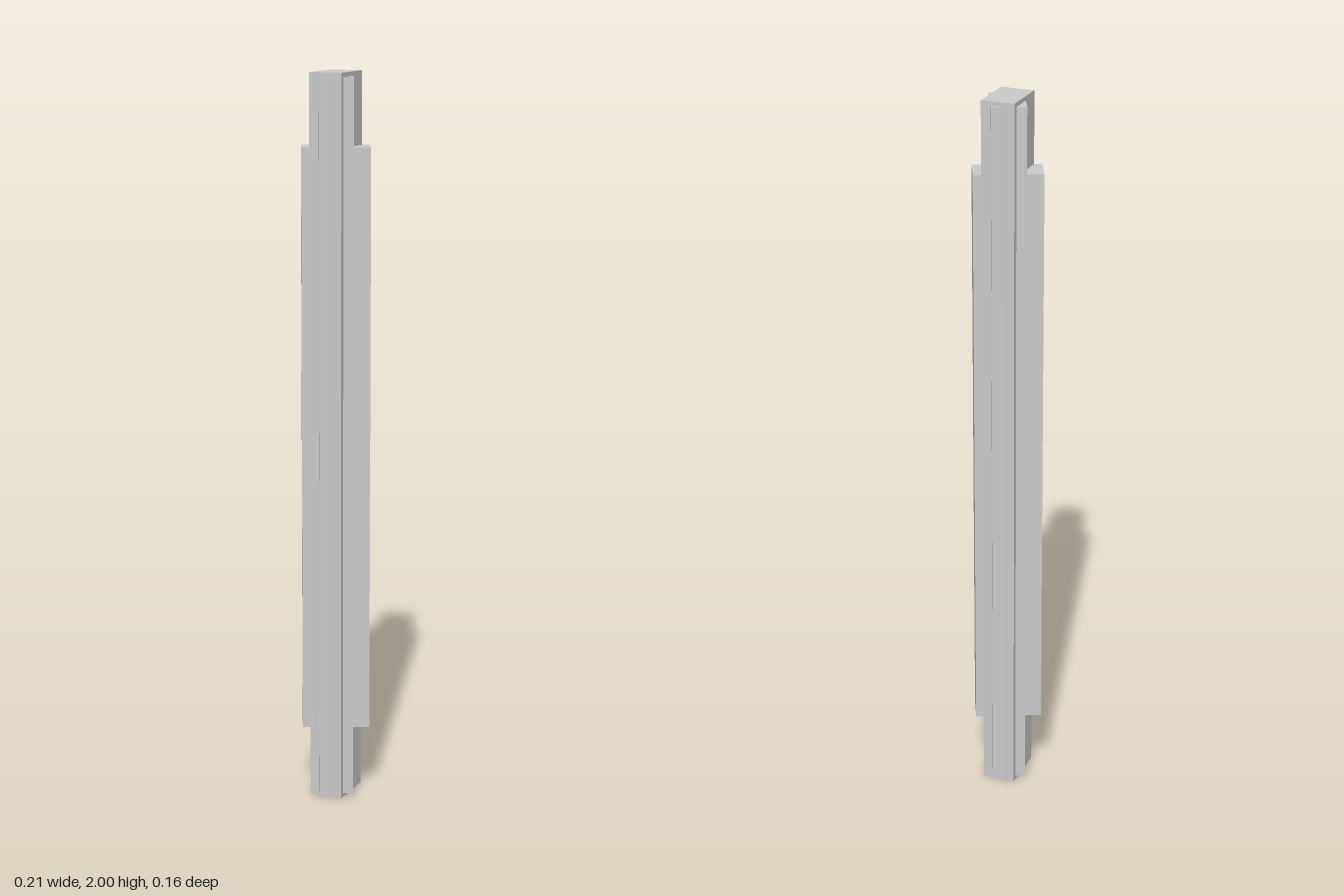
import * as THREE from 'three';

const material = new THREE.MeshStandardMaterial({ color: 0xcccccc, flatShading: true });

// Upright bar centred on the vertical axis, turned about it
function bar(name, width, height, depth, turn) {
  const mesh = new THREE.Mesh(new THREE.BoxGeometry(width, height, depth), material);
  mesh.name = name;
  mesh.position.y = 1;
  mesh.rotation.y = turn;
  return mesh;
}

export function createModel() {
  const group = new THREE.Group();
  group.name = 'post';
  const turn = THREE.MathUtils.degToRad(24.7);

  // Full-height core, a slightly shorter twisted core, and a wide shorter sleeve
  group.add(
    bar('mainCore', 0.092, 2, 0.139, 0),
    bar('twistedCore', 0.092, 1.976, 0.139, turn),
    bar('sideSleeve', 0.185, 1.606, 0.092, turn)
  );
  return group;
}
